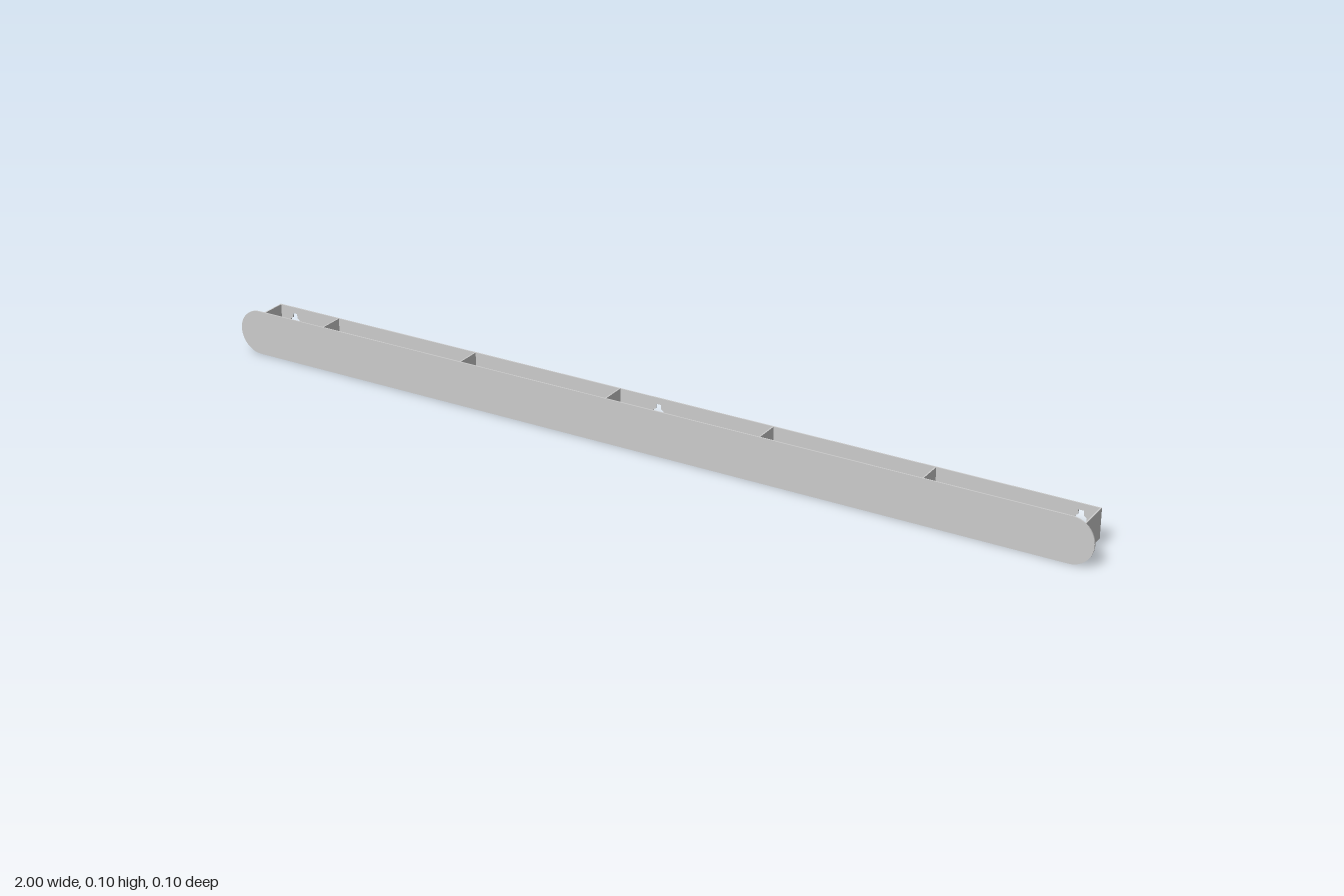
import * as THREE from 'three';

const material = new THREE.MeshStandardMaterial({ color: 0xcccccc, side: THREE.DoubleSide });

const BOTTOM = 0.013, TOP = 0.078, FRONT = 0.051, BACK = -0.051;
const HALF = 0.97;      // half length of the tray
const WALL = 0.003;     // sheet thickness
const OPEN_END = -0.81; // floor slats stop here

export function createModel() {
  const group = new THREE.Group();

  const add = (name, geometry) => {
    const mesh = new THREE.Mesh(geometry, material);
    mesh.name = name;
    group.add(mesh);
    return mesh;
  };
  // Box given by its two opposite corners
  const box = (name, x0, x1, y0, y1, z0, z1) =>
    add(name, new THREE.BoxGeometry(x1 - x0, y1 - y0, z1 - z0))
      .position.set((x0 + x1) / 2, (y0 + y1) / 2, (z0 + z1) / 2);
  const sheet = (name, shape, z) =>
    add(name, new THREE.ExtrudeGeometry(shape, { depth: WALL, bevelEnabled: false, curveSegments: 24 }))
      .position.z = z;

  // Front plate with fully rounded ends
  const plate = new THREE.Shape();
  plate.absarc(0.95, 0.05, 0.05, -Math.PI / 2, Math.PI / 2);
  plate.absarc(-0.95, 0.05, 0.05, Math.PI / 2, Math.PI * 1.5);
  plate.closePath();
  sheet('frontPlate', plate, FRONT - WALL);

  // Back wall with three keyholes: wide below, narrow slot above
  const back = new THREE.Shape([
    [-HALF, BOTTOM], [HALF, BOTTOM], [HALF, TOP], [-HALF, TOP],
  ].map(([x, y]) => new THREE.Vector2(x, y)));
  for (const x of [-0.93, 0, 0.93]) {
    back.holes.push(new THREE.Path([
      [-0.012, 0.032], [-0.012, 0.05], [-0.006, 0.054], [-0.006, 0.064],
      [0.006, 0.064], [0.006, 0.054], [0.012, 0.05], [0.012, 0.032],
    ].map(([dx, y]) => new THREE.Vector2(x + dx, y))));
  }
  sheet('backWall', back, BACK);

  // End walls
  for (const s of [-1, 1]) {
    const x = s * (HALF - WALL / 2);
    box('endWall', x - WALL / 2, x + WALL / 2, BOTTOM, TOP, BACK, FRONT - WALL);
  }

  // Evenly spaced dividers
  for (let i = 0; i < 5; i++) {
    const x = 0.625 - i * 0.359;
    box('divider', x - WALL / 2, x + WALL / 2, BOTTOM, TOP, BACK + WALL, FRONT - WALL);
  }

  // Two floor slats with open gaps beside them
  for (const [z0, z1] of [[-0.035, -0.006], [0.006, 0.034]]) {
    box('floorSlat', OPEN_END, HALF - WALL, BOTTOM, BOTTOM + WALL, z0, z1);
  }

  // Small ribs at the open end of the floor
  for (const x of [-0.938, -0.844]) {
    box('rib', x - 0.007, x + 0.007, BOTTOM, BOTTOM + 0.006, BACK + WALL, -0.003);
  }

  return group;
}
